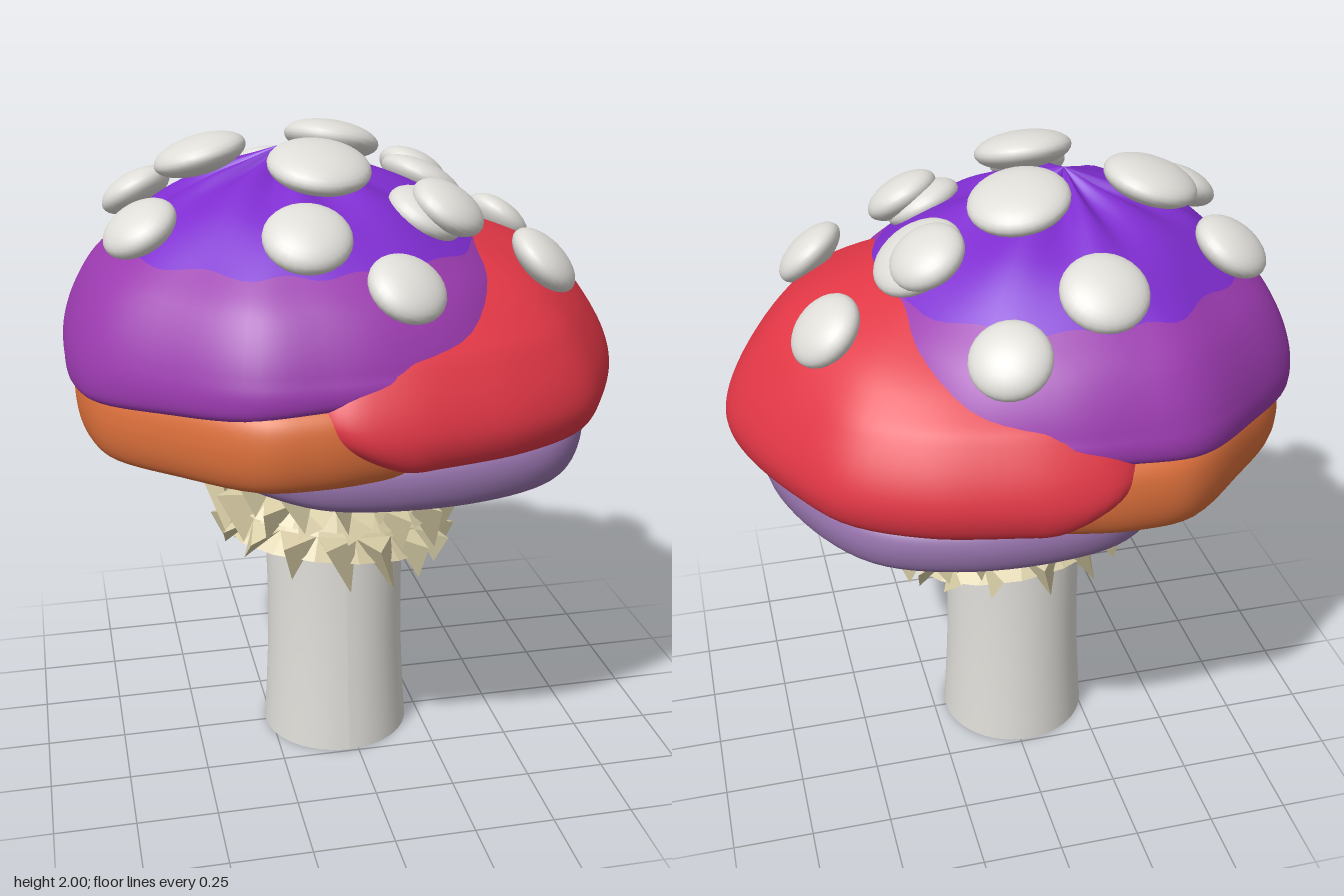
import * as THREE from 'three';

const { clamp } = THREE.MathUtils;
const mat = (name, color) => {
  const m = new THREE.MeshStandardMaterial({ color });
  m.name = name;
  return m;
};

// Closed shell: a plan outline (half given, mirrored in z) shrunk towards a centre
// by a profile of [scale, height] points running from top to bottom.
function loft({ half, cx, profile, split, warp }) {
  const STEPS = 6, N = 96;
  const inner = half.slice(1, -1);
  const loop = [...half, ...inner.reverse().map(([x, z]) => [x, -z])];
  const plan = new THREE.CatmullRomCurve3(
    loop.map(([x, z]) => new THREE.Vector3(x, 0, z)), true).getPoints(N).slice(0, N);
  const side = new THREE.CatmullRomCurve3(
    profile.map(([s, y]) => new THREE.Vector3(s, y, 0))).getPoints((profile.length - 1) * STEPS);
  const pos = [], idx = [];
  side.forEach((p, i) => plan.forEach((q, j) => {
    const s = Math.max(p.x, 0);
    const v = new THREE.Vector3(cx + (q.x - cx) * s, p.y, q.z * s);
    warp(v, (j / N) * Math.PI * 2, i / STEPS);
    pos.push(v.x, v.y, v.z);
  }));
  for (let i = 0; i < side.length - 1; i++) {
    for (let j = 0; j < N; j++) {
      const a = i * N + j, b = i * N + (j + 1) % N;
      idx.push(a, b, a + N, b, b + N, a + N);
    }
  }
  const g = new THREE.BufferGeometry();
  g.setAttribute('position', new THREE.Float32BufferAttribute(pos, 3));
  g.setIndex(idx);
  g.computeVertexNormals();
  if (split) {
    const cut = split * STEPS * N * 6;
    g.addGroup(0, cut, 0);
    g.addGroup(cut, idx.length - cut, 1);
  }
  return g;
}

export function createModel() {
  const model = new THREE.Group();
  const violet = mat('violet', 0x7f2dd0), purple = mat('purple', 0x9c3bb0);
  const red = mat('red', 0xe03645), orange = mat('orange', 0xdb6f3b);
  const lavender = mat('lavender', 0x9673ac), mauve = mat('mauve', 0xac7092);
  const white = mat('offWhite', 0xdfddd8), beige = mat('beige', 0xd8cda6);
  beige.side = THREE.DoubleSide;
  const add = (name, geo, material, parent = model) => {
    const m = new THREE.Mesh(geo, material);
    m.name = name;
    parent.add(m);
    return m;
  };

  // Main cap: pleated violet crown over purple shoulders
  add('mainCap', loft({
    half: [[.62, 0], [.48, .37], [.28, .6], [.02, .7], [-.2, .715], [-.4, .69], [-.62, .52], [-.8, .335],
      [-.85, .17], [-.857, 0]],
    cx: -.18,
    profile: [[0, 1.955], [.15, 1.91], [.35, 1.865], [.55, 1.8], [.75, 1.69], [.88, 1.6], [.97, 1.48],
      [1, 1.38], [.985, 1.31], [.9, 1.285], [0, 1.29]],
    split: 4,
    warp: (v, a, row) => {
      if (row < 4) v.y += .022 * Math.cos(a * 9) * Math.sin(Math.PI * row / 4) * (1 - row / 5);
      if (row > 3 && row < 5) {
        const k = 1 + .018 * Math.cos(a * 14) * (1 - Math.abs(row - 4));
        v.x = -.18 + (v.x + .18) * k;
        v.z *= k;
        v.y -= (k - 1) * .4;
      }
      v.y += .09 * (v.x + .85) * clamp((1.45 - v.y) / .15, 0, 1);
    },
  }), [violet, purple]);

  // Red lobe overlapping the left side, its ends curving back over the orange
  add('redLobe', loft({
    half: [[.855, 0], [.825, .15], [.725, .375], [.6, .565], [.4, .685], [.2, .74], [0, .768], [-.17, .748],
      [-.25, .66], [-.28, .4], [-.3, 0]],
    cx: .1,
    profile: [[0, 1.735], [.28, 1.73], [.45, 1.7], [.73, 1.6], [.9, 1.45], [.985, 1.33], [1, 1.26],
      [.97, 1.195], [.9, 1.17], [0, 1.18]],
    warp: v => {
      v.y -= .25 * v.z * v.z * clamp((v.y - 1.48) / .2, 0, 1);
      v.x += .19 * clamp((1.36 - v.y) / .18, 0, 1) ** 2 * clamp((.1 - v.x) / .3, 0, 1);
    },
  }), red);

  // Orange lobe below the purple shoulder
  add('orangeLobe', loft({
    half: [[.25, 0], [.2, .5], [.06, .69], [-.08, .728], [-.22, .737], [-.38, .71], [-.6, .52], [-.77, .335],
      [-.82, .17], [-.832, 0]],
    cx: -.2,
    profile: [[0, 1.37], [.9, 1.37], [.975, 1.33], [1, 1.26], [.99, 1.18], [.95, 1.13], [.8, 1.115], [0, 1.14]],
    warp: v => { v.y += .03 * (v.x + .6); },
  }), orange);

  // Lavender rim with hollow mauve underside
  add('rimAndUnderside', loft({
    half: [[.76, 0], [.69, .3], [.53, .55], [.3, .66], [0, .69], [-.22, .64], [-.42, .43], [-.56, .22], [-.6, 0]],
    cx: .08,
    profile: [[0, 1.2], [.9, 1.2], [.98, 1.17], [1, 1.12], [.98, 1.06], [.93, 1.03], [.86, 1.024], [.75, 1.05],
      [.55, 1.1], [0, 1.12]],
    split: 5,
    warp: v => { v.y -= .02 * (v.x - .08); },
  }), [lavender, mauve]);

  // Stem: round foot, flattened towards the top
  const stem = new THREE.CylinderGeometry(1, 1, 1.1, 48, 16);
  stem.translate(0, .55, 0);
  const p = stem.attributes.position;
  const stemX = y => .24 - .018 * Math.sin(Math.PI * Math.min(y / .9, 1)) + .02 * Math.max(0, y - .8) / .3;
  const stemZ = y => .165 + .077 * Math.pow(Math.max(0, 1 - y / .95), 1.2);
  for (let i = 0; i < p.count; i++) {
    const y = p.getY(i);
    p.setXYZ(i, p.getX(i) * stemX(y) - .03, y, p.getZ(i) * stemZ(y));
  }
  stem.computeVertexNormals();
  add('stem', stem, white);

  // Ragged collar: three tiers of hanging pointed flaps on flared bands
  const collar = new THREE.Group();
  collar.name = 'collar';
  model.add(collar);
  const ringPoint = (a, out, y) => {
    const x = (.235 + out * 1.45) * Math.cos(a);
    return [x - .035, y - .12 * x, (.17 + out) * Math.sin(a)];
  };
  const flat = (name, pos, parent) => {
    const g = new THREE.BufferGeometry();
    g.setAttribute('position', new THREE.Float32BufferAttribute(pos, 3));
    g.computeVertexNormals();
    add(name, g, beige, parent);
  };
  const TEETH = 15, step = Math.PI * 2 / TEETH;
  [.92, .83, .725].forEach((y, tier) => {
    const teeth = [], band = [];
    for (let i = 0; i < TEETH; i++) {
      const a = (i + tier * .5) * step, wob = Math.sin(i * 5.3 + tier * 2);
      const L = ringPoint(a - step * .5, .045, y + .03);
      const R = ringPoint(a + step * .5, .045, y + .03);
      const P = ringPoint(a + .1 * wob, .117 + .012 * wob, y + .02 * wob);
      const T = ringPoint(a - .14 * wob, .085, y - .11 - .035 * wob);
      teeth.push(...L, ...P, ...R, ...L, ...T, ...P, ...R, ...P, ...T, ...L, ...R, ...T);
      const A = ringPoint(a - step / 2, 0, y + .06), B = ringPoint(a + step / 2, 0, y + .06);
      const C = ringPoint(a - step / 2, .075, y - .045), D = ringPoint(a + step / 2, .075, y - .045);
      band.push(...A, ...B, ...C, ...B, ...D, ...C);
    }
    flat('collarFlaps', teeth, collar);
    flat('collarBand', band, collar);
  });

  // Thin spikes radiating in the hollow under the cap
  const SPIKES = 24, spikes = [];
  const gill = (a, r, y) => [.03 + r * 1.1 * Math.cos(a), y, r * Math.sin(a)];
  for (let i = 0; i < SPIKES; i++) {
    const a = i / SPIKES * Math.PI * 2;
    const l = gill(a - .06, .22, 1.08), r = gill(a + .06, .22, 1.08);
    const d = gill(a, .22, 1.04), t = gill(a, .45, 1.058);
    spikes.push(...l, ...t, ...r, ...l, ...d, ...t, ...d, ...r, ...t);
  }
  flat('gillSpikes', spikes, model);

  // Raised lens-shaped spots: x, y, z, radius
  const spots = [
    [-.6, 1.78, -.28, .113], [-.42, 1.92, -.075, .138], [-.63, 1.775, .225, .11], [-.15, 1.79, -.51, .12],
    [.12, 1.645, -.555, .113], [0, 1.935, -.175, .143], [.29, 1.795, -.17, .135], [.275, 1.82, -.23, .11],
    [.57, 1.64, -.25, .112], [-.12, 1.93, .24, .145], [.19, 1.785, .25, .115], [.25, 1.805, .275, .113],
    [-.205, 1.79, .505, .12], [.06, 1.65, .555, .112], [.54, 1.64, .295, .115],
  ];
  const lens = new THREE.SphereGeometry(1, 28, 16);
  for (const [x, y, z, r] of spots) {
    const spot = add('spot', lens, white);
    const d = Math.hypot(x + .18, z), tilt = Math.min(1.1 * d, .75);
    const n = new THREE.Vector3((x + .18) / d * Math.sin(tilt), Math.cos(tilt), z / d * Math.sin(tilt));
    spot.position.set(x, y, z);
    spot.quaternion.setFromUnitVectors(new THREE.Vector3(0, 1, 0), n);
    spot.scale.set(r * 1.03, .057, r * 1.03);
  }
  return model;
}
